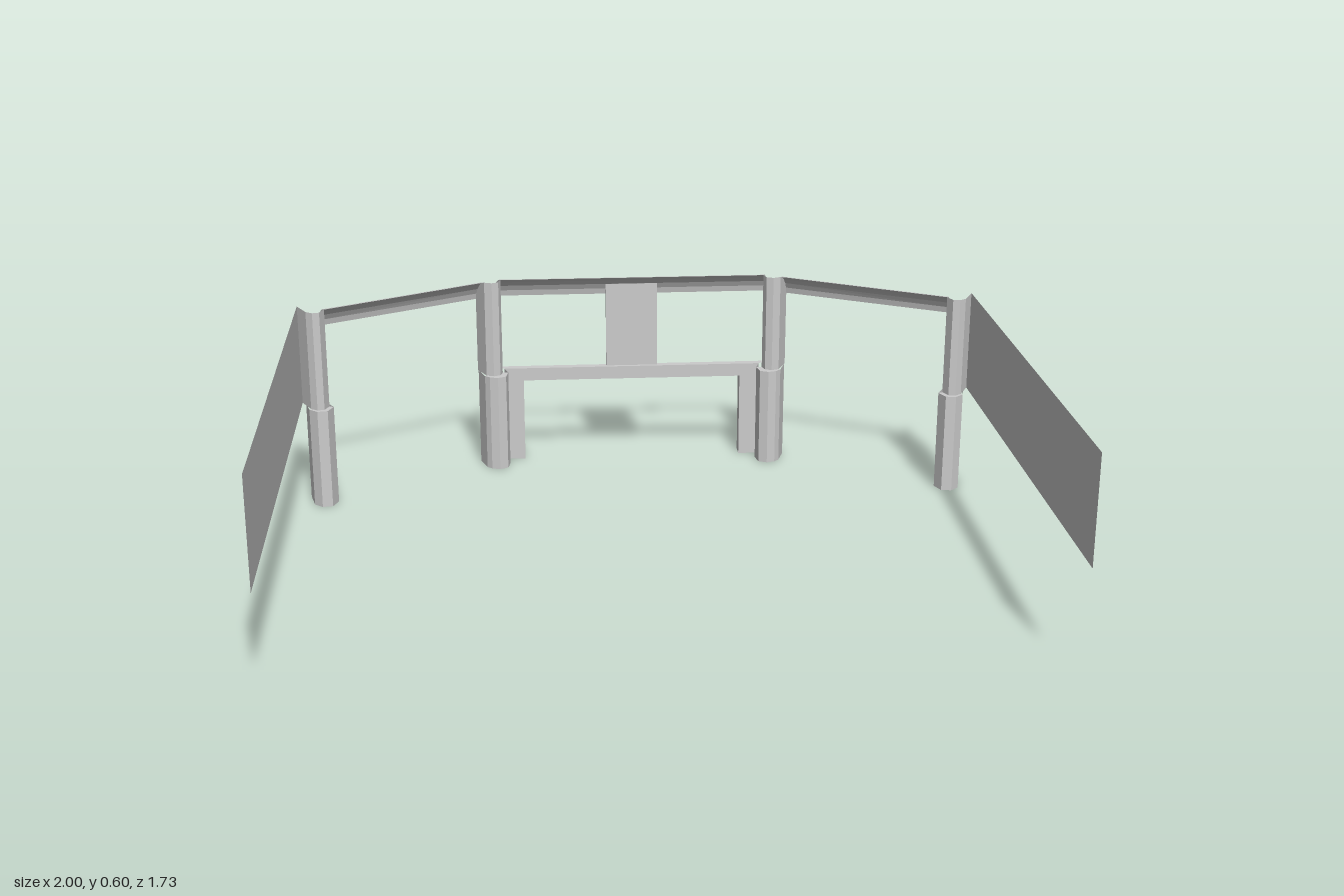
import * as THREE from 'three';

const material = new THREE.MeshStandardMaterial({ color: 0xcccccc, flatShading: true, side: THREE.DoubleSide });

// Rounded canopy section: share of the depth covered, height
const CURVE = [[0, 0.597], [0.25, 0.594], [0.55, 0.58], [0.78, 0.565], [0.93, 0.548], [1, 0.53]];

// Sheet stretched between two polylines of equal length
function sheet(name, a, b) {
  const v = [];
  for (let i = 0; i < a.length - 1; i++) {
    v.push(...a[i], ...a[i + 1], ...b[i + 1], ...a[i], ...b[i + 1], ...b[i]);
  }
  const geometry = new THREE.BufferGeometry();
  geometry.setAttribute('position', new THREE.Float32BufferAttribute(v, 3));
  geometry.computeVertexNormals();
  const mesh = new THREE.Mesh(geometry, material);
  mesh.name = name;
  return mesh;
}

const lerp = (p, q, t) => [p[0] + (q[0] - p[0]) * t, p[1] + (q[1] - p[1]) * t];

// Upright folded sheet: plan points [x, z, optional top]
const wall = (name, plan, y0, y1) => sheet(name,
  plan.map(([x, z]) => [x, y0, z]), plan.map(([x, z, top]) => [x, top ?? y1, z]));

// Canopy strip from inner edge (high) to outer edge (low)
function canopy(name, in0, in1, out0, out1) {
  const edge = (p, q) => CURVE.map(([t, y]) => { const [x, z] = lerp(p, q, t); return [x, y, z]; });
  return sheet(name, edge(in0, out0), edge(in1, out1));
}

// Post flank whose top follows the canopy section
const flank = (p, q) => CURVE.map(([t, y]) => [...lerp(p, q, t), y]);

export function createModel() {
  const model = new THREE.Group();

  for (const s of [1, -1]) {
    const m = (pts) => pts.map(([x, ...rest]) => [s * x, ...rest]);
    const side = new THREE.Group();
    side.name = s > 0 ? 'leftSide' : 'rightSide';

    side.add(wall('sideWall', m([[1, -0.53], [1, 0.865]]), 0.3, 0.597));

    // Outer post
    const outerUpper = [[1, -0.53], [0.97, -0.47], [0.95, -0.455], [0.93, -0.46],
      ...flank([0.918, -0.49], [0.948, -0.55])];
    const outerLower = [[0.99, -0.53], [0.975, -0.465], [0.95, -0.442], [0.92, -0.447], [0.905, -0.485], [0.93, -0.53]];
    side.add(wall('outerPostUpper', m(outerUpper), 0.3, 0.597));
    side.add(wall('outerPostLower', m(outerLower), 0, 0.3));

    // Inner post
    const innerUpper = [...flank([0.455, -0.755], [0.482, -0.813]).reverse(), [0.432, -0.745],
      [0.412, -0.755], ...flank([0.405, -0.78], [0.43, -0.845])];
    const innerLower = [[0.48, -0.81], [0.46, -0.75], [0.445, -0.735], [0.42, -0.727],
      [0.395, -0.74], [0.388, -0.78], [0.4, -0.82]];
    side.add(wall('innerPostUpper', m(innerUpper), 0.3, 0.597));
    side.add(wall('innerPostLower', m(innerLower), 0, 0.3));

    // Narrow shelves where the lower posts stand proud of the upper ones
    const flat = (pts) => m(pts).map(([x, z]) => [x, 0.3, z]);
    side.add(sheet('outerPostLedge', flat(outerLower.slice(1, 5)), flat(outerUpper.slice(1, 5))));
    side.add(sheet('innerPostLedge', flat(innerLower.slice(1, 6)),
      flat([[0.455, -0.755], [0.445, -0.75], [0.432, -0.745], [0.412, -0.755], [0.405, -0.78]])));

    const [a, b, c, d] = m([[0.455, -0.755], [0.918, -0.49], [0.482, -0.813], [0.948, -0.552]]);
    side.add(canopy('sideCanopy', a, b, c, d));

    // Doorway pier with its reveal
    side.add(wall('doorPier', m([[0.4, -0.82], [0.34, -0.82], [0.34, -0.865]]), 0, 0.26));
    model.add(side);
  }

  model.add(canopy('centreCanopy', [-0.405, -0.78], [0.405, -0.78], [-0.43, -0.845], [0.43, -0.845]));

  // Lintel face, soffit and window sill
  model.add(wall('lintel', [[-0.4, -0.82], [0.4, -0.82]], 0.26, 0.3));
  model.add(sheet('doorSoffit', [[-0.34, 0.26, -0.82], [0.34, 0.26, -0.82]],
    [[-0.34, 0.26, -0.865], [0.34, 0.26, -0.865]]));
  model.add(sheet('windowSill', [[-0.4, 0.3, -0.82], [0.4, 0.3, -0.82]],
    [[-0.43, 0.3, -0.845], [0.43, 0.3, -0.845]]));

  // Pillar between the two windows
  model.add(wall('centrePillar', [[-0.08, -0.845, 0.53], [-0.08, -0.831], [0.08, -0.831], [0.08, -0.845, 0.53]], 0.3, 0.565));

  return model;
}
